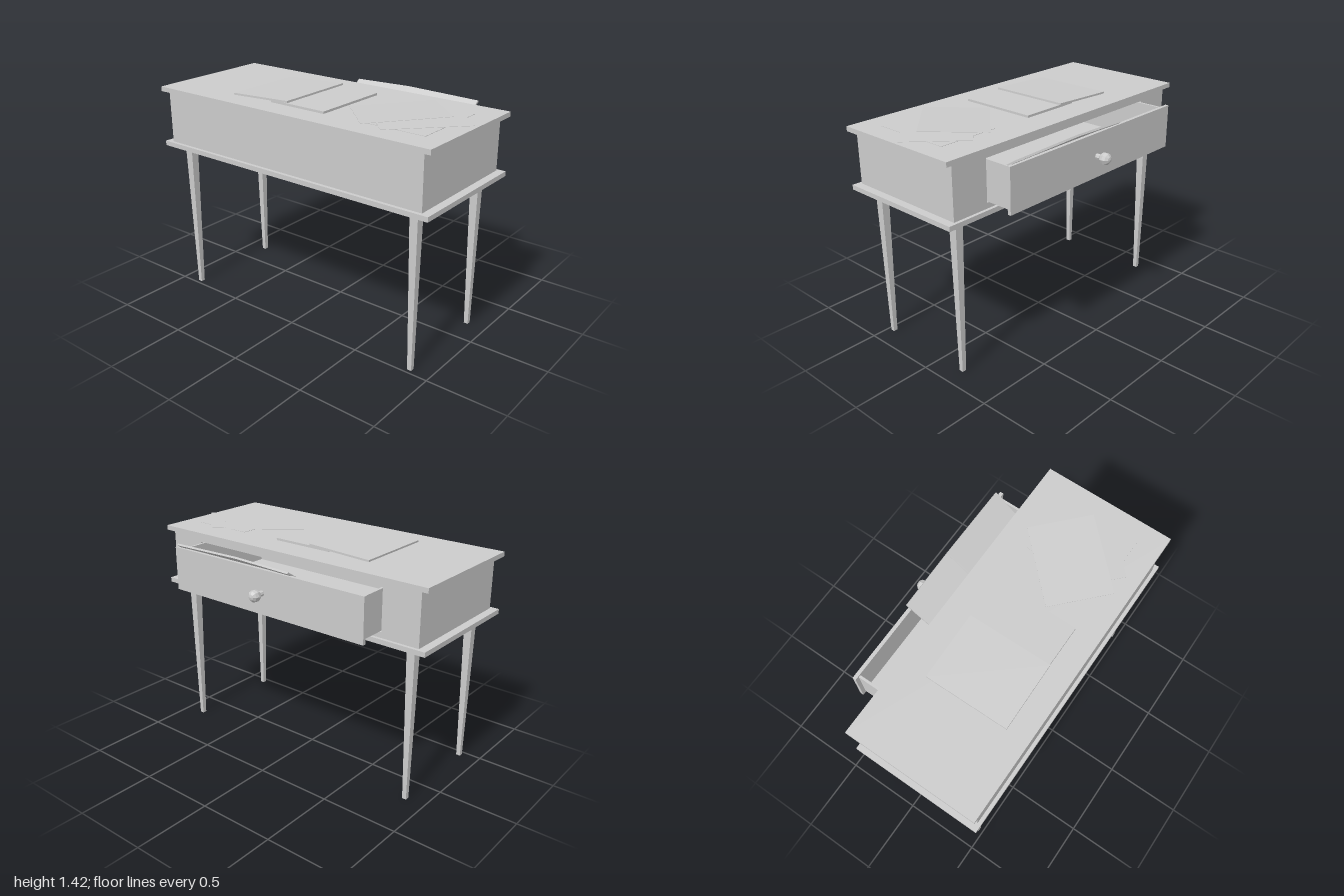
import * as THREE from 'three';

const material = new THREE.MeshStandardMaterial({ color: 0xcccccc, flatShading: true });

function add(parent, name, geometry) {
  const mesh = new THREE.Mesh(geometry, material);
  mesh.name = name;
  parent.add(mesh);
  return mesh;
}

// Box given by its extents on each axis
function block(parent, name, [x0, x1], [y0, y1], [z0, z1]) {
  const mesh = add(parent, name, new THREE.BoxGeometry(x1 - x0, y1 - y0, z1 - z0));
  mesh.position.set((x0 + x1) / 2, (y0 + y1) / 2, (z0 + z1) / 2);
  return mesh;
}

// Thin rectangular sheet or folder, turned about y and then tilted
function sheet(parent, name, [w, t, d], position, [rx, ry, rz]) {
  const mesh = add(parent, name, new THREE.BoxGeometry(w, t, d));
  mesh.position.set(...position);
  mesh.rotation.set(rx, ry, rz);
  return mesh;
}

function createDesk() {
  const desk = new THREE.Group();
  desk.name = 'desk';
  block(desk, 'tabletop', [-0.562, 0.283], [1.35, 1.38], [-1, 1]);
  block(desk, 'bottomPanel', [-0.562, 0.283], [0.99, 1.02], [-1, 1]);
  block(desk, 'backPanel', [-0.54, -0.52], [1.02, 1.35], [-0.95, 0.95]);
  for (const s of [-1, 1]) {
    const end = block(desk, 'endPanel', [-0.52, 0.24], [1.02, 1.35], [0.93, 0.95]);
    end.position.z *= s;
    const stile = block(desk, 'frontStile', [0.24, 0.263], [1.02, 1.35], [0.705, 0.95]);
    stile.position.z *= s;
  }
  // Rails above and below the drawer opening
  block(desk, 'upperRail', [0.24, 0.263], [1.315, 1.35], [-0.705, 0.705]);
  block(desk, 'lowerRail', [0.24, 0.263], [1.02, 1.055], [-0.705, 0.705]);

  // Square legs, tapering to the foot
  const legShape = new THREE.CylinderGeometry(0.027 * Math.SQRT2, 0.0135 * Math.SQRT2, 0.99, 4);
  legShape.rotateY(Math.PI / 4);
  for (const x of [-0.461, 0.184])
    for (const z of [-0.868, 0.868]) add(desk, 'leg', legShape).position.set(x, 0.495, z);
  return desk;
}

function createDrawer() {
  const drawer = new THREE.Group();
  drawer.name = 'drawer';
  block(drawer, 'drawerFront', [0.439, 0.461], [1.045, 1.322], [-0.725, 0.725]);
  block(drawer, 'drawerFloor', [-0.3, 0.439], [1.06, 1.075], [-0.7, 0.7]);
  block(drawer, 'drawerBack', [-0.3, -0.28], [1.075, 1.308], [-0.7, 0.7]);
  for (const s of [-1, 1]) {
    const side = block(drawer, 'drawerSide', [-0.28, 0.439], [1.075, 1.308], [0.685, 0.7]);
    side.position.z *= s;
  }

  // Knob on a short stem
  const stem = add(drawer, 'knobStem', new THREE.CylinderGeometry(0.018, 0.018, 0.05, 8));
  stem.rotation.z = Math.PI / 2;
  stem.position.set(0.482, 1.178, 0);
  const knob = add(drawer, 'knob', new THREE.SphereGeometry(0.038, 8, 6));
  knob.rotation.z = Math.PI / 2;
  knob.position.set(0.522, 1.178, 0);

  // Folders leaning out over the drawer front
  const tilt = 0.57;
  for (const [length, width, z, lean, top] of [[0.4, 0.51, 0.435, 0.02, 1.352], [0.51, 0.4, -0.005, -0.03, 1.351]]) {
    const x = 0.472 - (length / 2) * Math.cos(tilt);
    const y = top - (length / 2) * Math.sin(tilt);
    sheet(drawer, 'drawerFolder', [length, 0.012, width], [x, y, z], [lean, 0, tilt]);
  }
  return drawer;
}

function createPapers() {
  const papers = new THREE.Group();
  papers.name = 'papers';
  // Two folders, the second propped on the first
  sheet(papers, 'flatFolder', [0.51, 0.014, 0.4], [-0.155, 1.388, 0], [0, 0, 0]);
  sheet(papers, 'proppedFolder', [0.53, 0.012, 0.43], [-0.152, 1.395, -0.285], [-0.045, 0.01, 0]);

  // Loose sheets fanned over one another
  const size = [0.51, 0.002, 0.4];
  sheet(papers, 'straightSheet', size, [-0.155, 1.384, 0.672], [0, 0, 0]);
  sheet(papers, 'turnedSheet', size, [-0.155, 1.39, 0.67], [0, -0.77, 0]);
  const tilted = new THREE.Group();
  tilted.name = 'tiltedSheet';
  tilted.position.set(-0.155, 1.4, 0.54);
  tilted.rotation.x = -0.05;
  sheet(tilted, 'topSheet', size, [0, 0, 0], [0, -0.77, 0]);
  papers.add(tilted);
  return papers;
}

export function createModel() {
  const model = new THREE.Group();
  model.name = 'writingDesk';
  model.add(createDesk(), createDrawer(), createPapers());
  return model;
}
